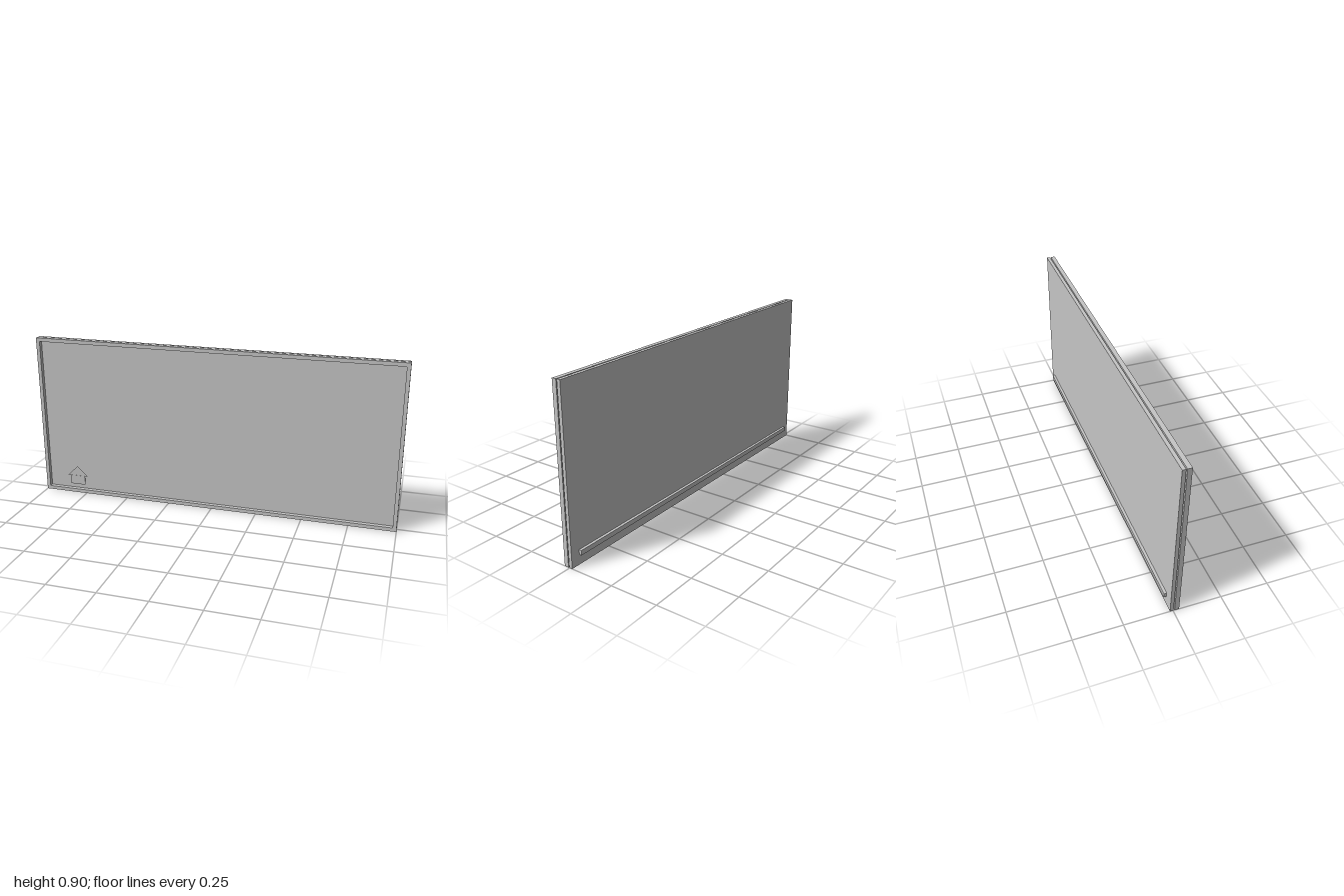
import * as THREE from 'three';

const W = 2, H = 0.9, BORDER = 0.02;

export function createModel() {
  const group = new THREE.Group();
  const grey = new THREE.MeshStandardMaterial({ color: 0xc6c6c6 });
  grey.name = 'light grey';

  const add = (name, geometry, x, y, z) => {
    const mesh = new THREE.Mesh(geometry, grey);
    mesh.name = name;
    mesh.position.set(x, y, z);
    group.add(mesh);
  };
  const box = (name, w, h, d, x, y, z) => add(name, new THREE.BoxGeometry(w, h, d), x, y, z);
  const polygon = (points) => new THREE.Shape(points.map(([x, y]) => new THREE.Vector2(x, y)));
  const rectangle = (w, h) => polygon([[-w / 2, -h / 2], [w / 2, -h / 2], [w / 2, h / 2], [-w / 2, h / 2]]);
  const extrude = (shape, depth) => new THREE.ExtrudeGeometry(shape, { depth, bevelEnabled: false });

  // Back board
  box('backBoard', W, H, 0.018, 0, H / 2, -0.0065);

  // Front frame, standing slightly clear of the board
  const frame = rectangle(W, H);
  frame.holes.push(rectangle(W - 2 * BORDER, H - 2 * BORDER));
  add('frontFrame', extrude(frame, 0.023), 0, H / 2, 0.008);

  // Rail along the lower back
  box('rearRail', 1.9, 0.025, 0.015, 0, 0.064, -0.0225);

  // Small house emblem, held just in front of the board
  box('houseBody', 0.088, 0.053, 0.003, -0.809, 0.0695, 0.0115);
  const roof = polygon([[-0.06, 0], [0.06, 0], [0, 0.057]]);
  add('houseRoof', extrude(roof, 0.002), -0.809, 0.096, 0.0095);

  return group;
}
